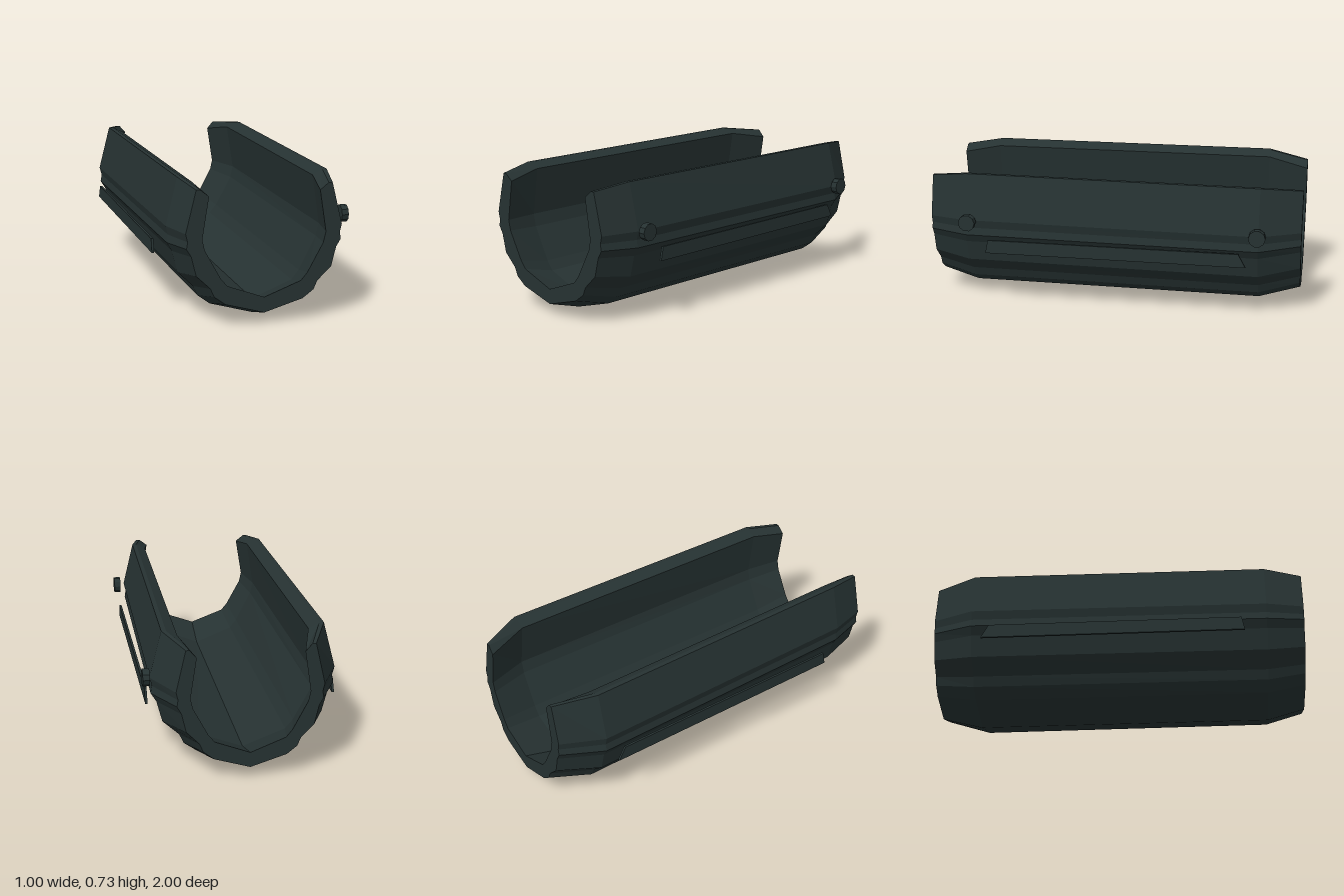
import * as THREE from 'three';

const CENTRE_X = -0.0115;

// Right half profiles, bottom to rim: outer skin at the widest section, inner skin at the end lip
const OUTER = [[0, 0.002], [0.237, 0.067], [0.305, 0.115], [0.328, 0.165], [0.413, 0.243],
  [0.442, 0.355], [0.47, 0.4], [0.463, 0.44], [0.475, 0.485], [0.412, 0.728], [0.388, 0.728]];
const INNER = [[0, 0.14], [0.18, 0.21], [0.212, 0.25], [0.288, 0.395], [0.3, 0.45], [0.268, 0.66]];

// Stations along z: x scale and y range of each skin
const STATIONS = [
  { z: -1, ox: 0.78, oy: [0.06, 0.7], ix: 1, iy: [0.14, 0.66] },
  { z: -0.78, ox: 1, oy: [0.002, 0.728], ix: 1.24, iy: [0.075, 0.7] },
  { z: 0.8, ox: 0.95, oy: [0.002, 0.728], ix: 1.18, iy: [0.075, 0.7] },
  { z: 1, ox: 0.845, oy: [0.06, 0.7], ix: 1.06, iy: [0.14, 0.665] },
];

// Scale a half profile and mirror it into a full left-to-right U
function fullProfile(half, sx, [y0, y1]) {
  const lo = half[0][1], hi = half[half.length - 1][1];
  const right = half.map(([x, y]) => new THREE.Vector2(
    x * sx, y0 + (y - lo) / (hi - lo) * (y1 - y0)));
  const left = right.slice(1).reverse().map((p) => new THREE.Vector2(-p.x, p.y));
  return [...left, ...right];
}

function channelGeometry() {
  const loops = STATIONS.map((s) => [
    ...fullProfile(OUTER, s.ox, s.oy),
    ...fullProfile(INNER, s.ix, s.iy).reverse()]);
  const n = loops[0].length;
  const positions = [], index = [];
  loops.forEach((loop, k) => loop.forEach((p) =>
    positions.push(p.x + CENTRE_X, p.y, STATIONS[k].z)));
  // Skins and rims
  for (let k = 0; k < loops.length - 1; k++) {
    for (let i = 0; i < n; i++) {
      const j = (i + 1) % n;
      const a = k * n + i, b = k * n + j, c = b + n, d = a + n;
      index.push(a, b, c, a, c, d);
    }
  }
  // U-shaped end faces
  const last = (loops.length - 1) * n;
  for (const [a, b, c] of THREE.ShapeUtils.triangulateShape(loops[0], [])) index.push(a, c, b);
  for (const [a, b, c] of THREE.ShapeUtils.triangulateShape(loops[loops.length - 1], [])) {
    index.push(last + a, last + b, last + c);
  }
  const geometry = new THREE.BufferGeometry();
  geometry.setAttribute('position', new THREE.Float32BufferAttribute(positions, 3));
  geometry.setIndex(index);
  const flat = geometry.toNonIndexed();
  flat.computeVertexNormals();
  return flat;
}

export function createModel() {
  const group = new THREE.Group();
  const darkGreen = new THREE.MeshStandardMaterial({ name: 'darkGreenGrey', color: 0x263232, flatShading: true });
  const add = (name, geometry) => {
    const mesh = new THREE.Mesh(geometry, darkGreen);
    mesh.name = name;
    group.add(mesh);
    return mesh;
  };

  add('channelShell', channelGeometry());

  // Long side strips with slanted ends, drawn in (-z, y) and extruded along x
  const outline = new THREE.Shape([[-0.68, 0.318], [0.72, 0.318], [0.68, 0.39], [-0.665, 0.39]]
    .map(([x, y]) => new THREE.Vector2(x, y)));
  for (const [name, x] of [['leftStrip', 0.468], ['rightStrip', -0.505]]) {
    const strip = add(name, new THREE.ExtrudeGeometry(outline, { depth: 0.012, bevelEnabled: false }));
    strip.rotation.y = Math.PI / 2;
    strip.position.x = x;
  }

  // Round bolts on the left wall
  for (const [name, z] of [['frontBolt', 0.775], ['backBolt', -0.775]]) {
    const bolt = add(name, new THREE.CylinderGeometry(0.045, 0.045, 0.036, 10));
    bolt.rotation.z = Math.PI / 2;
    bolt.position.set(0.482, 0.486, z);
  }
  return group;
}
